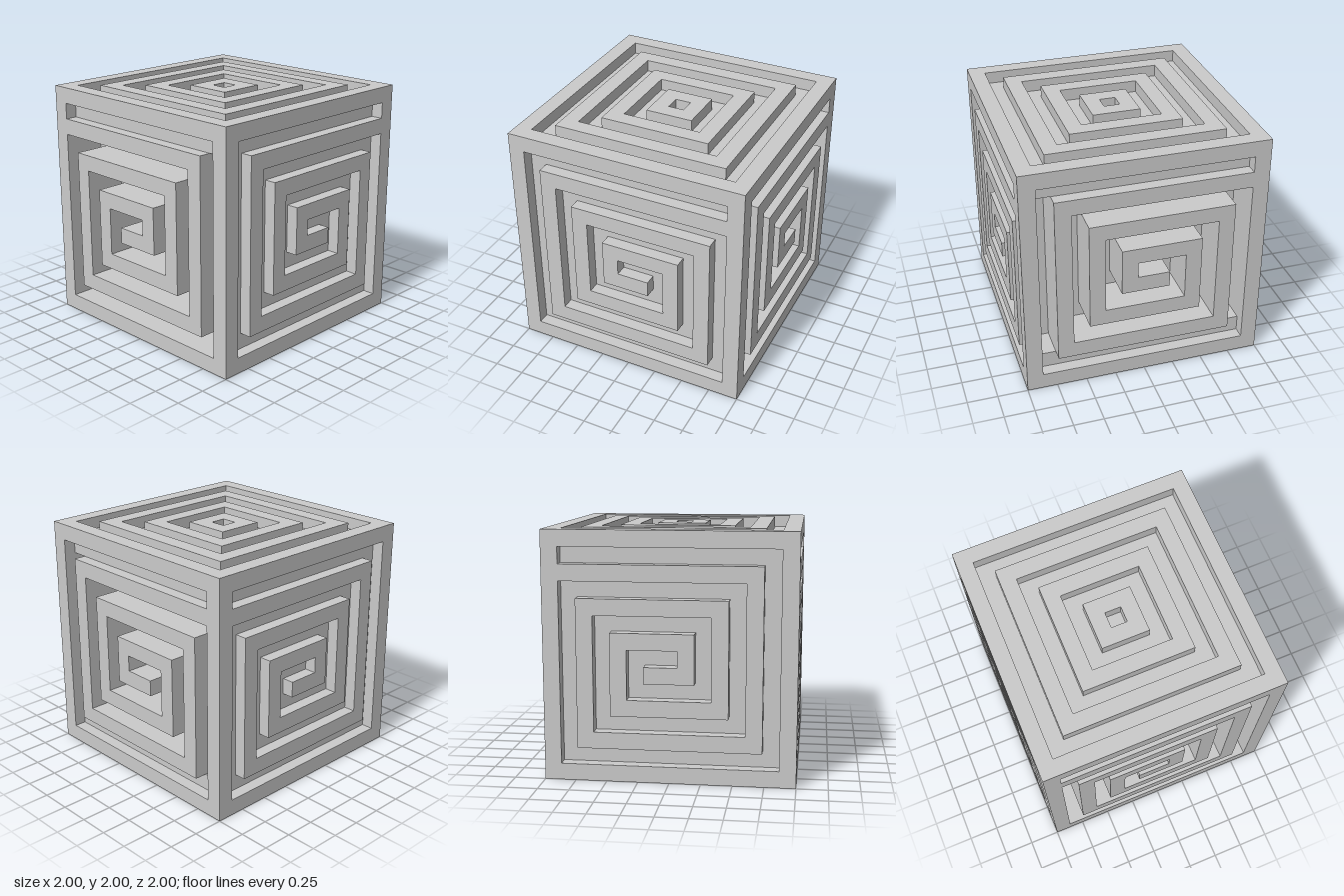
import * as THREE from 'three';

const U = 2 / 15;      // bar and slot width
const SKIN = 0.9;      // floor of the shallow slots
const CORE = 0.65;     // floor of the deep slots at front and back

const material = new THREE.MeshStandardMaterial({ color: 0xcccccc, flatShading: true });

// Centre line of the square spiral slot, in slot widths
const SPIRAL = [[-6, 6], [6, 6], [6, -6], [-6, -6], [-6, 4], [4, 4], [4, -4],
  [-4, -4], [-4, 2], [2, 2], [2, -2], [-2, -2], [-2, 0], [0, 0]];

// Deep stretches of the slot: all but the top row in front, all but the top and bottom rows behind
const FRONT_DEEP = [[[6, 5], ...SPIRAL.slice(2)]];
const BACK_DEEP = [[[6, 5], [6, -5]], [[-6, -5], ...SPIRAL.slice(4)]];

const rectangle = (w, h) => [[-w, -h], [w, -h], [w, h], [-w, h]].map(([x, y]) => new THREE.Vector2(x, y));

// Outline of a right-angled path, one slot wide with square ends
function slotOutline(path) {
  const dir = (i) => [Math.sign(path[i + 1][0] - path[i][0]), Math.sign(path[i + 1][1] - path[i][1])];
  const side = (s) => path.map(([x, y], i) => {
    const into = i > 0 ? dir(i - 1) : null;
    const out = i < path.length - 1 ? dir(i) : null;
    let ox, oy;
    if (into && out) {
      ox = -s * (into[1] + out[1]);
      oy = s * (into[0] + out[0]);
    } else {
      const d = into || out;
      const along = into ? 1 : -1;
      ox = -s * d[1] + along * d[0];
      oy = s * d[0] + along * d[1];
    }
    return new THREE.Vector2((x + ox / 2) * U, (y + oy / 2) * U);
  });
  return [...side(1), ...side(-1).reverse()];
}

function plateWithHoles(w, h, holes) {
  const shape = new THREE.Shape(rectangle(w, h));
  for (const hole of holes) shape.holes.push(new THREE.Path(hole));
  return shape;
}

const spiralPlate = (w, h, paths) => plateWithHoles(w, h, paths.map(slotOutline));

// Nested square rings, given as pairs of outer and inner half sizes
const ringPlate = (pairs) => pairs.map(([a, b]) => plateWithHoles(a, a, [rectangle(b, b)]));

export function createModel() {
  const model = new THREE.Group();
  model.name = 'spiralCube';
  model.position.y = 1;

  // Plate between two distances from the centre, on the + or - side of its axis
  function addPlate(name, shapes, from, to, sign, rx = 0, ry = 0) {
    const geometry = new THREE.ExtrudeGeometry(shapes, { depth: to - from, bevelEnabled: false });
    geometry.translate(0, 0, sign > 0 ? from : -to);
    const mesh = new THREE.Mesh(geometry, material);
    mesh.rotation.set(rx, ry, 0);
    mesh.name = name;
    model.add(mesh);
  }

  // Solid heart
  const core = new THREE.Mesh(new THREE.BoxGeometry(2 * SKIN, 2 * SKIN, 2 * CORE), material);
  core.name = 'core';
  model.add(core);

  // Deep slots
  addPlate('frontInnerSpiral', spiralPlate(SKIN, SKIN, FRONT_DEEP), CORE, SKIN, 1);
  addPlate('backInnerSpiral', spiralPlate(SKIN, SKIN, BACK_DEEP), CORE, SKIN, -1);

  // Face plates; the side ones have their local x axis turned to +z
  const rings = [[SKIN, 6.5 * U], [5.5 * U, 4.5 * U], [3.5 * U, 2.5 * U], [1.5 * U, 0.5 * U]];
  for (const s of [1, -1]) {
    addPlate(s > 0 ? 'frontSpiral' : 'backSpiral', spiralPlate(1, 1, [SPIRAL]), SKIN, 1, s);
    addPlate(s > 0 ? 'leftSpiral' : 'rightSpiral', spiralPlate(SKIN, 1, [SPIRAL]), SKIN, 1, s, 0, -Math.PI / 2);
    addPlate(s > 0 ? 'topRings' : 'bottomRings', ringPlate(rings), SKIN, 1, s, -Math.PI / 2);
  }
  return model;
}
